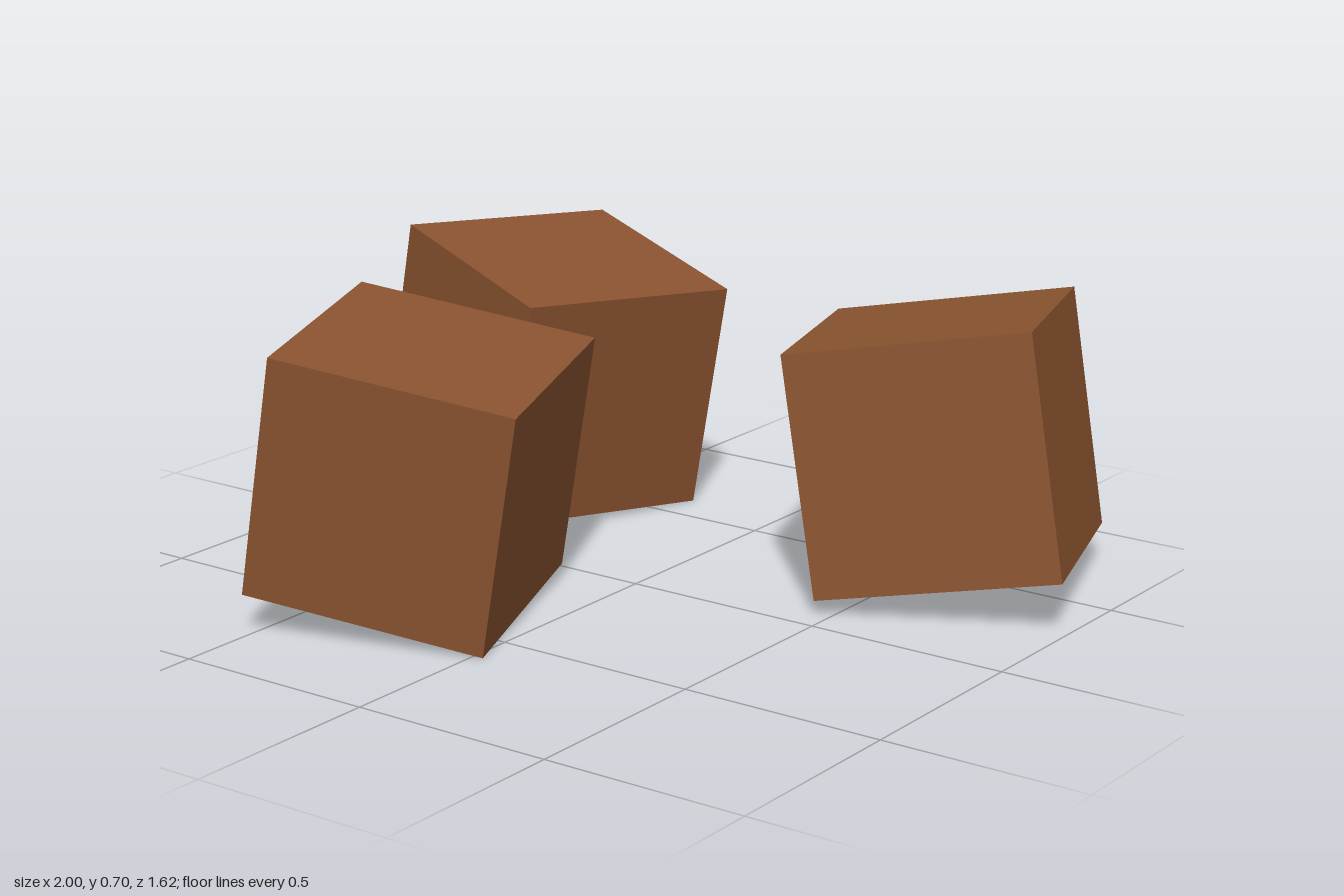
import * as THREE from 'three';

export function createModel() {
  const model = new THREE.Group();
  model.name = 'tumbledCubes';

  const brown = new THREE.MeshStandardMaterial({ color: 0x8b5430 });
  brown.name = 'brown';

  const size = 0.581;
  const geometry = new THREE.BoxGeometry(size, size, size);

  // Each cube is turned about y, then leaned sideways about z
  const addCube = (name, x, z, turn, lean) => {
    const cube = new THREE.Mesh(geometry, brown);
    cube.name = name;
    cube.position.set(x, 0.351, z);
    cube.rotation.set(0, THREE.MathUtils.degToRad(turn), THREE.MathUtils.degToRad(lean), 'ZYX');
    model.add(cube);
  };

  addCube('backLeftCube', 0.582, -0.437, 20, 10);
  addCube('backRightCube', -0.582, -0.437, -20, -10);
  addCube('frontCube', -0.291, 0.437, 20, -10);

  return model;
}
